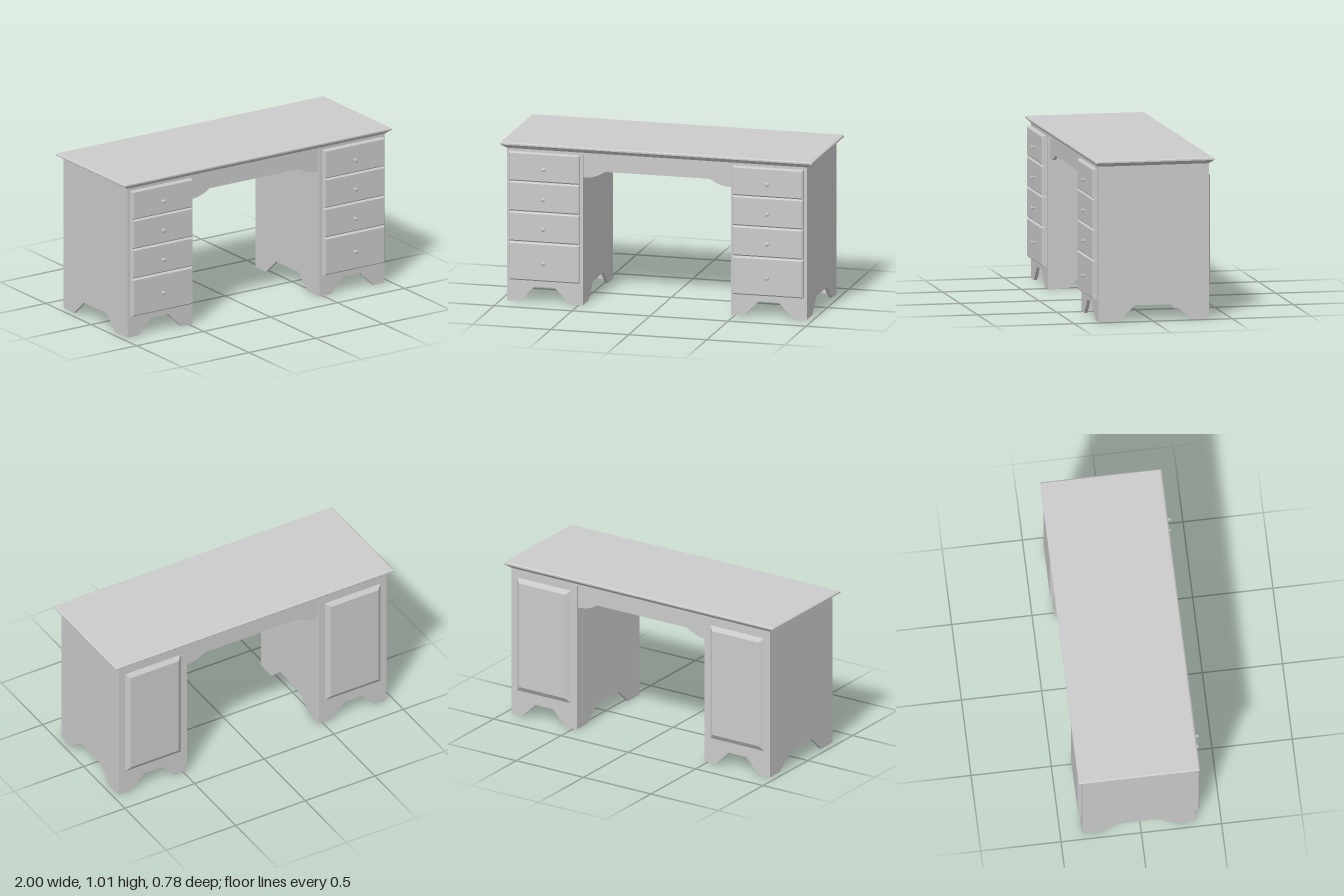
import * as THREE from 'three';

const mat = new THREE.MeshStandardMaterial({ color: 0xcccccc });
const flat = new THREE.MeshStandardMaterial({ color: 0xcccccc, flatShading: true });

const TOP = 0.97, FRONT = 0.338, BACK = -0.362, WALL = 0.02;
const HALF = 0.243, CENTRE = 0.717;        // pedestal half width and centre
const DEPTH = FRONT - BACK, MID = (FRONT + BACK) / 2;
const INNER = CENTRE - HALF;               // edge of the kneehole

function add(parent, name, geometry, x = 0, y = 0, z = 0, material = mat) {
  const mesh = new THREE.Mesh(geometry, material);
  mesh.name = name;
  mesh.position.set(x, y, z);
  parent.add(mesh);
  return mesh;
}

// Closed solid through rectangular sections [x0, x1, y0, y1, z], z rising
function loft(sections) {
  const pos = [];
  const rings = sections.map(([x0, x1, y0, y1, z]) =>
    [[x0, y0, z], [x1, y0, z], [x1, y1, z], [x0, y1, z]]);
  const quad = (a, b, c, d) => pos.push(...a, ...b, ...c, ...a, ...c, ...d);
  for (let i = 0; i < rings.length - 1; i++) {
    for (let k = 0; k < 4; k++) {
      const n = (k + 1) % 4;
      quad(rings[i][k], rings[i][n], rings[i + 1][n], rings[i + 1][k]);
    }
  }
  const [a, b, c, d] = rings[0];
  quad(d, c, b, a);
  quad(...rings[rings.length - 1]);
  const g = new THREE.BufferGeometry();
  g.setAttribute('position', new THREE.Float32BufferAttribute(pos, 3));
  g.computeVertexNormals();
  return g;
}

// Upright board with a trapezoid cut at the bottom; cut = four x positions
function footedBoard(x0, x1, cut) {
  const pts = [[x0, 0], [cut[0], 0], [cut[1], 0.097], [cut[2], 0.097], [cut[3], 0], [x1, 0], [x1, TOP], [x0, TOP]];
  const shape = new THREE.Shape(pts.map(p => new THREE.Vector2(...p)));
  return new THREE.ExtrudeGeometry(shape, { depth: WALL, bevelEnabled: false });
}

function makeKnob() {
  const profile = [[0.009, 0], [0.006, 0.003], [0.006, 0.013], [0.013, 0.015], [0.013, 0.018], [0.008, 0.022], [0, 0.024]];
  const g = new THREE.LatheGeometry(profile.map(p => new THREE.Vector2(...p)), 16);
  return g.rotateX(Math.PI / 2);
}

function makePedestal() {
  const p = new THREE.Group();

  // Carcass: front, back and two sides, each with bracket feet
  const face = footedBoard(-HALF, HALF, [-0.157, -0.067, 0.062, 0.16]);
  add(p, 'frontBoard', face, 0, 0, FRONT - WALL);
  add(p, 'backBoard', face, 0, 0, BACK);
  const side = footedBoard(BACK + WALL, FRONT - WALL, [-0.25, -0.137, 0.107, 0.21]);
  side.rotateY(-Math.PI / 2);              // board x becomes z
  add(p, 'sideBoard', side, HALF);
  add(p, 'sideBoard', side, -HALF + WALL);
  add(p, 'floor', new THREE.BoxGeometry(2 * HALF - WALL, 0.02, DEPTH - WALL), 0, 0.175, MID);

  // Four drawers with bevelled fronts and a knob each
  const rows = [[0.14, 0.382, 0.258], [0.387, 0.575, 0.475], [0.579, 0.767, 0.665], [0.77, 0.955, 0.855]];
  const knob = makeKnob();
  for (const [y0, y1, knobY] of rows) {
    const w = 0.226, b = 0.008;
    add(p, 'drawerFront', loft([
      [-w + 0.003, w - 0.003, y0 + 0.003, y1 - 0.003, FRONT - 0.005],
      [-w, w, y0, y1, FRONT + 0.004],
      [-w, w, y0, y1, FRONT + 0.024],
      [-w + b, w - b, y0 + b, y1 - b, FRONT + 0.031]
    ]), 0, 0, 0, flat);
    add(p, 'drawerKnob', knob, 0, knobY, FRONT + 0.031);
  }

  // Raised panel on the back
  const panel = add(p, 'backPanel', loft([
    [-0.2, 0.2, 0.165, 0.915, 0],
    [-0.172, 0.172, 0.198, 0.888, 0.021]
  ]), 0, 0, BACK, flat);
  panel.rotation.y = Math.PI;
  return p;
}

function apronGeometry() {
  const s = new THREE.Shape();
  s.moveTo(-INNER, TOP);
  s.lineTo(-INNER, 0.808);
  s.quadraticCurveTo(-0.4, 0.808, -0.335, 0.853);
  s.lineTo(0.335, 0.853);
  s.quadraticCurveTo(0.4, 0.808, INNER, 0.808);
  s.lineTo(INNER, TOP);
  return new THREE.ExtrudeGeometry(s, { depth: WALL, bevelEnabled: false, curveSegments: 8 });
}

export function createModel() {
  const desk = new THREE.Group();
  desk.name = 'desk';

  // Desktop: sloped underside and chamfered edge
  const slab = loft([
    [0.96, 0.338, 0.362, 0.97],
    [0.99, 0.357, 0.382, 0.99],
    [1, 0.365, 0.39, 0.995],
    [1, 0.365, 0.39, 1.004],
    [0.992, 0.357, 0.382, 1.01]
  ].map(([x, f, b, y]) => [-x, x, -f, b, y]));
  add(desk, 'desktop', slab.rotateX(-Math.PI / 2), 0, 0, 0, flat);

  for (const [name, s] of [['leftPedestal', 1], ['rightPedestal', -1]]) {
    const p = makePedestal();
    p.name = name;
    p.position.x = s * CENTRE;
    desk.add(p);
  }

  // Shaped aprons set back under thin rails, front and back
  const apron = apronGeometry();
  const rail = new THREE.BoxGeometry(2 * INNER, 0.012, 0.03);
  add(desk, 'frontApron', apron, 0, 0, FRONT - 0.015 - WALL);
  add(desk, 'backApron', apron, 0, 0, BACK + 0.015);
  add(desk, 'frontRail', rail, 0, TOP - 0.006, FRONT - 0.015);
  add(desk, 'backRail', rail, 0, TOP - 0.006, BACK + 0.015);
  return desk;
}
